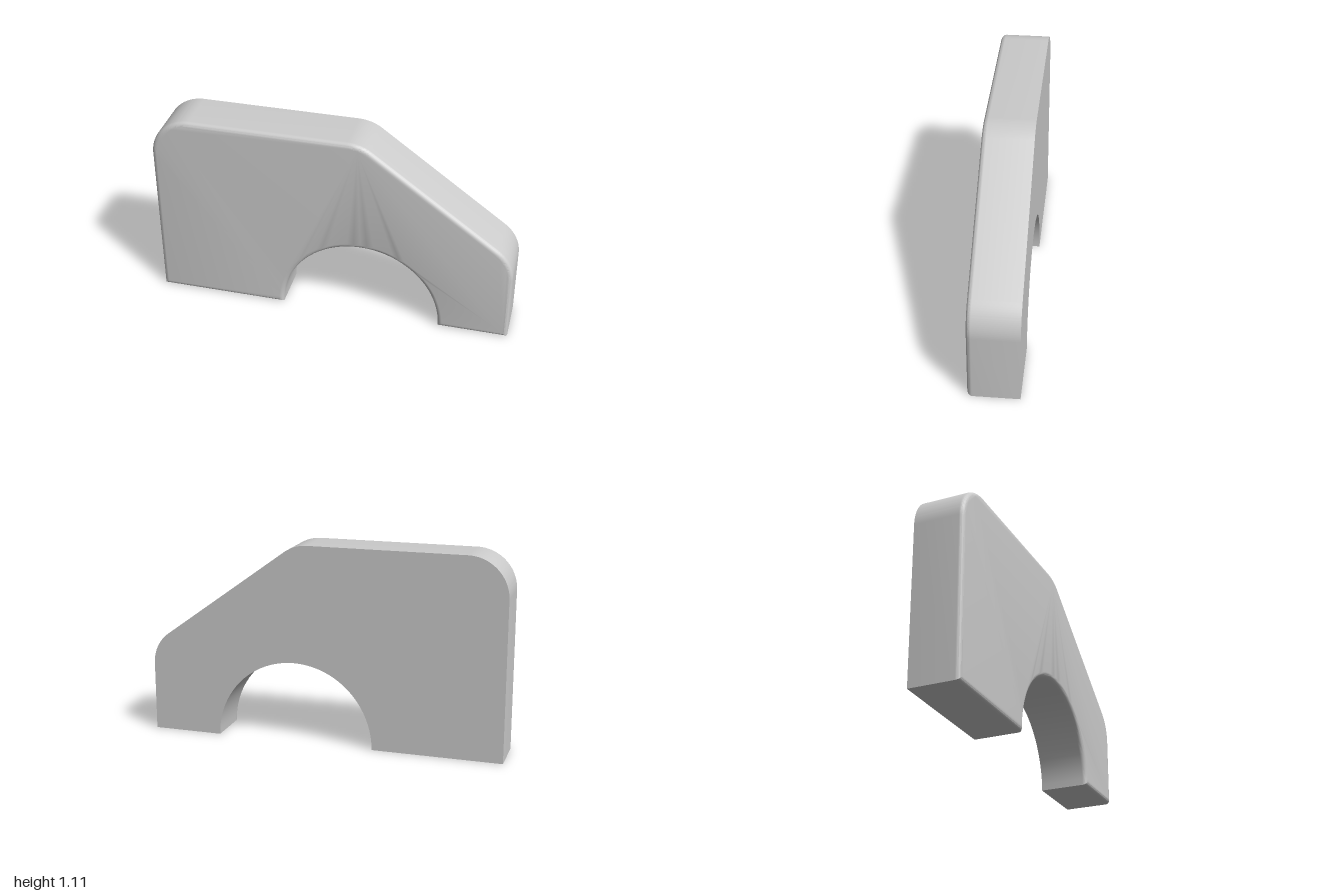
import * as THREE from 'three';
import { toCreasedNormals } from 'three/addons/utils/BufferGeometryUtils.js';

const DEPTH = 0.276, ROUND = 0.026, STEPS = 5;

// Outline, counter-clockwise: flat foot, arched cutout, sloped shoulder, rounded corners
function outline() {
  const slope = THREE.MathUtils.degToRad(54), r = 0.22;
  const s = new THREE.Shape();
  s.moveTo(-1, 0);
  s.lineTo(-0.28, 0);
  s.absellipse(0.165, 0, 0.445, 0.455, Math.PI, 0, true);
  s.lineTo(1, 0);
  s.absarc(1 - r, 0.387, r, 0, slope);
  s.absarc(0.088, 1.11 - r, r, slope, Math.PI / 2);
  s.absarc(-1 + r, 1.11 - r, r, Math.PI / 2, Math.PI);
  const pts = s.getPoints(20);
  return pts.filter((p, i) => p.distanceTo(pts[(i + 1) % pts.length]) > 1e-5);
}

// Move every point inward by d along its mitre
function inset(pts, d) {
  const n = pts.length;
  return pts.map((p, i) => {
    const a = p.clone().sub(pts[(i + n - 1) % n]).normalize();
    const b = pts[(i + 1) % n].clone().sub(p).normalize();
    const na = new THREE.Vector2(-a.y, a.x), nb = new THREE.Vector2(-b.y, b.x);
    const k = d / (1 + na.dot(nb));
    return p.clone().addScaledVector(na.add(nb), k);
  });
}

function plateGeometry() {
  const pts = outline(), n = pts.length;
  // Rings from the sharp back edge to the rounded front edge
  const rings = [{ p: pts, z: -DEPTH / 2 }];
  for (let i = 0; i <= STEPS; i++) {
    const t = (i / STEPS) * Math.PI / 2;
    rings.push({ p: inset(pts, ROUND * (1 - Math.cos(t))), z: DEPTH / 2 - ROUND * (1 - Math.sin(t)) });
  }
  const pos = [], idx = [];
  rings.forEach(({ p, z }) => p.forEach(v => pos.push(v.x, v.y, z)));
  for (let k = 0; k < rings.length - 1; k++) {
    for (let i = 0; i < n; i++) {
      const j = (i + 1) % n, a = k * n + i, b = k * n + j;
      idx.push(a, b, b + n, a, b + n, a + n);
    }
  }
  // Back and front faces
  const last = (rings.length - 1) * n;
  for (const [a, b, c] of THREE.ShapeUtils.triangulateShape(pts, [])) idx.push(a, c, b);
  for (const [a, b, c] of THREE.ShapeUtils.triangulateShape(rings[rings.length - 1].p, [])) {
    idx.push(last + a, last + b, last + c);
  }
  const geo = new THREE.BufferGeometry();
  geo.setAttribute('position', new THREE.Float32BufferAttribute(pos, 3));
  geo.setIndex(idx);
  return toCreasedNormals(geo, 0.6);
}

export function createModel() {
  const group = new THREE.Group();
  group.name = 'archedBlock';
  const plate = new THREE.Mesh(plateGeometry(), new THREE.MeshStandardMaterial({ color: 0xcccccc }));
  plate.name = 'archedPlate';
  group.add(plate);
  return group;
}
